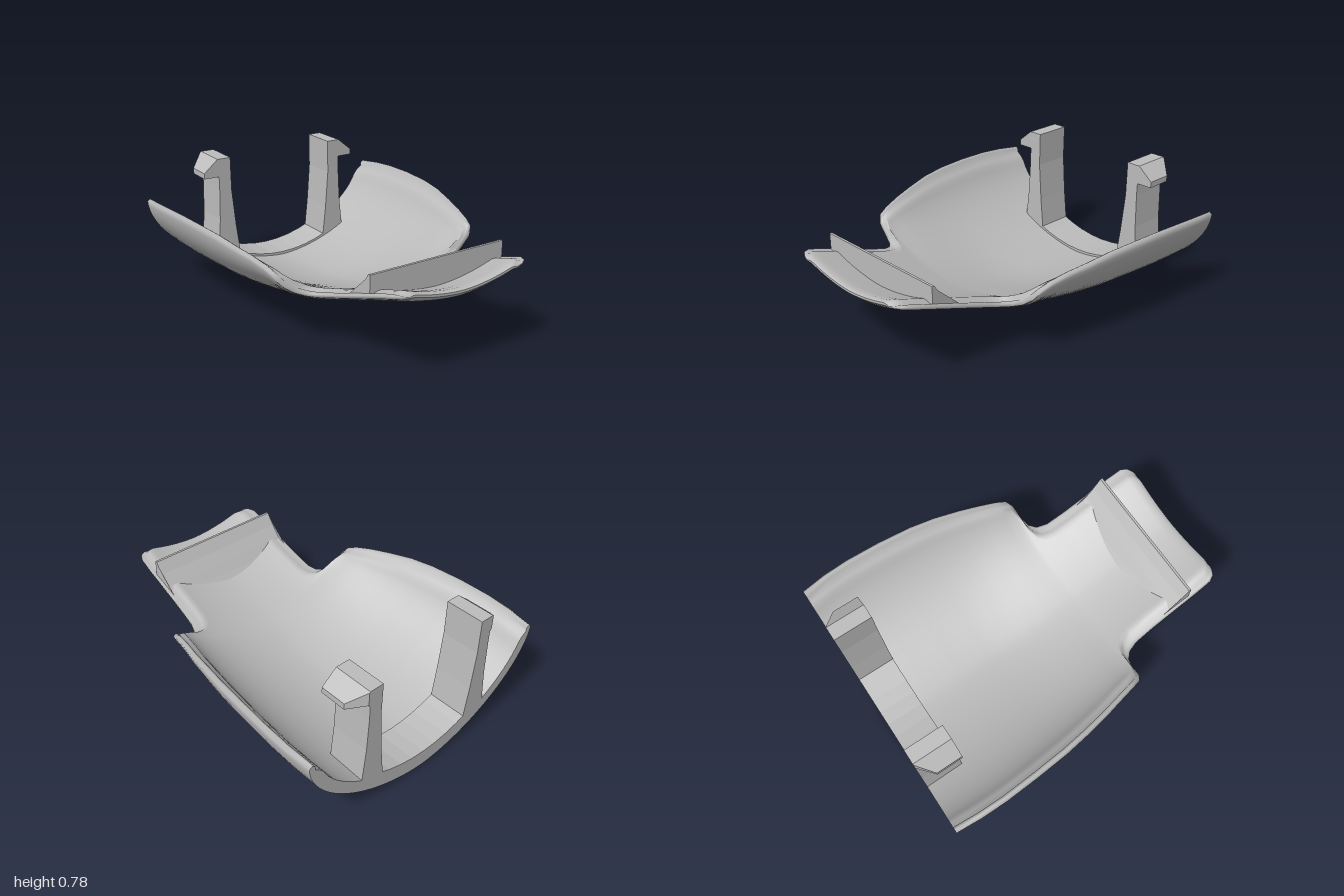
import * as THREE from 'three';

const P = 1.75; // roundness of the hull section
const N = 40;   // segments across the section

// wide body: z, keel height, half width, depth
const BODY = [
  [-1, 0.003, 0.805, 0.525],
  [-0.85, 0.01, 0.818, 0.535],
  [-0.7, 0.016, 0.82, 0.54],
  [-0.5, 0.027, 0.81, 0.535],
  [-0.3, 0.042, 0.793, 0.517],
  [-0.15, 0.064, 0.77, 0.485],
  [0, 0.1, 0.74, 0.425],
  [0.12, 0.135, 0.71, 0.37],
  [0.22, 0.165, 0.685, 0.315],
  [0.28, 0.184, 0.668, 0.27],
];

// notch and tongue: z, half width left after the cut
const TONGUE = [
  [0.305, 0.64], [0.316, 0.57], [0.335, 0.51], [0.37, 0.472], [0.43, 0.45], [0.55, 0.442],
  [0.7, 0.438], [0.85, 0.435], [0.94, 0.43], [0.975, 0.412], [0.993, 0.385], [1, 0.365],
];

function stations() {
  const body = BODY.map(([z, keel, width, depth]) => (
    { z, keel, width, depth, cut: width, thick: 0.07 - 0.01 * Math.max(0, z + 0.3) / 0.6, full: 1 }));
  // the tongue rises steadily and rounds off at its nose
  const tongue = TONGUE.map(([z, cut]) => {
    const k = (z - 0.3) / 0.7, nose = Math.max(0, (z - 0.94) / 0.06);
    return {
      z, cut,
      keel: 0.19 + 0.247 * k,
      width: 0.663 + 0.037 * k,
      depth: 0.268 + 0.062 * k,
      thick: 0.06 - 0.007 * k,
      full: 1 - 0.75 * nose ** 3,
    };
  });
  return [...body, ...tongue];
}

// closed loop of one section: outside, rim, inside, rim
function sectionLoop({ z, keel, width, depth, cut, thick, full }) {
  const outer = [], inner = [];
  const maxA = Math.asin(Math.min(1, Math.pow(cut / width, P / 2)));
  for (let j = 0; j <= N; j++) {
    const f = (j / N) * 2 - 1, a = Math.abs(f) * maxA, s = Math.sign(f);
    const u = Math.pow(Math.sin(a), 2 / P);
    const c = Math.pow(Math.max(0, Math.cos(a)), 2 / P);
    const n = new THREE.Vector2(-s * Math.pow(u, P - 1) / width, Math.pow(c, P - 1) / depth).normalize();
    const t = thick * (1 - 0.5 * THREE.MathUtils.smoothstep(Math.abs(f), 0.87, 0.95));
    const base = new THREE.Vector2(s * width * u, keel + depth * (1 - c));
    outer.push(base.clone().addScaledVector(n, t * (1 - full) / 2));
    inner.push(base.clone().addScaledVector(n, t * (1 + full) / 2));
  }
  // rounded tip just past the end of the section
  const tip = (k) => {
    const d = inner[k].clone().sub(outer[k]);
    const side = k ? 1 : -1;
    return outer[k].clone().addScaledVector(d, 0.5)
      .add(new THREE.Vector2(d.y, -d.x).multiplyScalar(side * 0.35));
  };
  const tips = [tip(N), tip(0)];
  return [...outer, tips[0], ...inner.reverse(), tips[1]].map((p) => [p.x, p.y, z]);
}

function indexedGeometry(points, index) {
  const g = new THREE.BufferGeometry();
  g.setAttribute('position', new THREE.Float32BufferAttribute(points.flat(), 3));
  g.setIndex(index);
  g.computeVertexNormals();
  return g;
}

// smooth skin over all sections
function shellGeometry(loops) {
  const M = loops[0].length, index = [];
  for (let i = 0; i < loops.length - 1; i++) {
    for (let j = 0; j < M; j++) {
      const a = i * M + j, b = i * M + (j + 1) % M;
      index.push(a, b, a + M, b, b + M, a + M);
    }
  }
  return indexedGeometry(loops.flat(), index);
}

// flat end between the outside and inside of one section
function endGeometry(loop, front) {
  const index = [], last = 2 * N + 2;
  const tri = (a, b, c) => (front ? index.push(a, c, b) : index.push(a, b, c));
  for (let j = 0; j < N; j++) {
    tri(j, last - j, j + 1);
    tri(j + 1, last - j, last - j - 1);
  }
  tri(N, N + 2, N + 1);
  tri(last, 0, last + 1);
  return indexedGeometry(loop, index);
}

function extrude(points, depth, steps = 1) {
  const shape = new THREE.Shape(points.map(([x, y]) => new THREE.Vector2(x, y)));
  return new THREE.ExtrudeGeometry(shape, { depth, steps, bevelEnabled: false });
}

// applies a rule to every vertex, then restores flat normals
function reshape(g, rule) {
  const p = g.attributes.position, v = new THREE.Vector3();
  for (let i = 0; i < p.count; i++) {
    rule(v.fromBufferAttribute(p, i));
    p.setXYZ(i, v.x, v.y, v.z);
  }
  g.computeVertexNormals();
  return g;
}

export function createModel() {
  const group = new THREE.Group();
  const grey = new THREE.MeshStandardMaterial({ color: 0xbcbcbc, side: THREE.DoubleSide });
  grey.name = 'light grey plastic';
  const add = (name, geometry) => {
    const mesh = new THREE.Mesh(geometry, grey);
    mesh.name = name;
    group.add(mesh);
  };

  // curved shell with its narrow front tongue
  const loops = stations().map(sectionLoop);
  add('shell', shellGeometry(loops));
  add('shellBackEnd', endGeometry(loops[0], false));
  add('shellFrontEnd', endGeometry(loops[loops.length - 1], true));

  // pair of snap pegs with flared feet and hooks tapered at the back
  const stem = [[0.3, 0.1], [0.46, 0.16], [0.437, 0.4], [0.43, 0.6], [0.43, 0.785],
    [0.35, 0.785], [0.35, 0.58], [0.33, 0.35]];
  const hook = [[0.425, 0.785], [0.435, 0.785], [0.525, 0.71], [0.525, 0.675], [0.425, 0.675]];
  for (const s of [1, -1]) {
    const side = s > 0 ? 'left' : 'right';
    const mirrored = (points) => points.map(([x, y]) => [s * x, y]);
    add(side + 'Peg', extrude(mirrored(stem), 0.23).translate(0, 0, -1));
    add(side + 'PegHook', reshape(extrude(mirrored(hook), 0.23, 3).translate(0, 0, -1), (v) => {
      if (v.z > -0.99 || Math.abs(v.x) < 0.5) return;
      v.x = s * 0.44;
      v.y = v.y > 0.7 ? 0.78 : 0.7;
    }));
  }

  // low bar joining the pegs, bent to the floor
  const bar = new THREE.BoxGeometry(0.68, 0.07, 0.23, 8, 1, 1).translate(0, 0.065, -0.885);
  add('crossBar', reshape(bar.toNonIndexed(), (v) => {
    v.y += 0.075 * (v.x / 0.34) ** 2;
  }));

  // ramped catch across the tongue, its underside following the floor
  const ramp = [[0.595, 0.3], [0.8, 0.36], [0.8, 0.575], [0.786, 0.575],
    [0.74, 0.507], [0.69, 0.447], [0.645, 0.39], [0.595, 0.333]];
  add('catchRamp', reshape(
    extrude(ramp, 0.85, 16).rotateY(-Math.PI / 2).translate(0.425, 0, 0),
    (v) => {
      const floor = 0.31 + (v.z - 0.6) * 0.385 + 0.08 * (v.x / 0.42) ** 2;
      v.y = Math.max(v.y, floor);
    }));

  return group;
}
